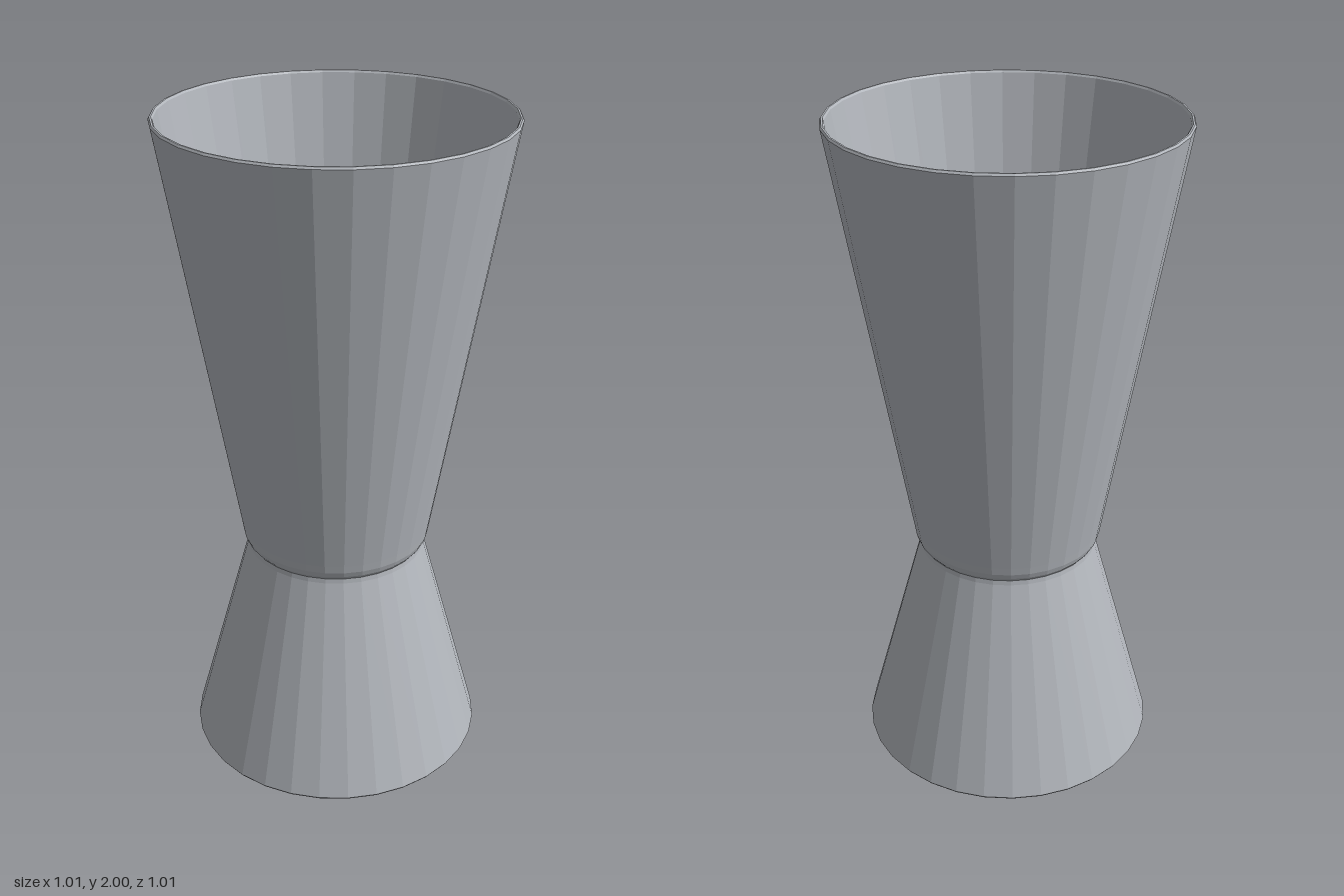
import * as THREE from 'three';

const SIDES = 32;

export function createModel() {
  const group = new THREE.Group();
  group.name = 'doubleMeasuringCup';

  const steel = new THREE.MeshStandardMaterial({ color: 0xb4b8be, flatShading: true });
  steel.name = 'brushedSteel';

  // Revolve a [radius, height] profile about the vertical axis
  const addLathe = (name, profile) => {
    const points = profile.map(([r, y]) => new THREE.Vector2(r, y));
    const mesh = new THREE.Mesh(new THREE.LatheGeometry(points, SIDES), steel);
    mesh.name = name;
    group.add(mesh);
  };

  // Small cup, open downward: ceiling, inner wall, rim, outer wall
  addLathe('lowerCup', [
    [0, 0.66], [0.245, 0.66], [0.258, 0.65],
    [0.441, 0.005], [0.445, 0], [0.45, 0], [0.454, 0.006],
    [0.272, 0.67], [0.27, 0.685],
  ]);

  // Large cup, open upward: rounded shoulder, outer wall, rim, inner wall, floor
  addLathe('upperCup', [
    [0.27, 0.685], [0.28, 0.698], [0.286, 0.715], [0.29, 0.74],
    [0.503, 1.994], [0.499, 2], [0.494, 2], [0.49, 1.994],
    [0.27, 0.72], [0.267, 0.707], [0.255, 0.7], [0, 0.7],
  ]);

  return group;
}
